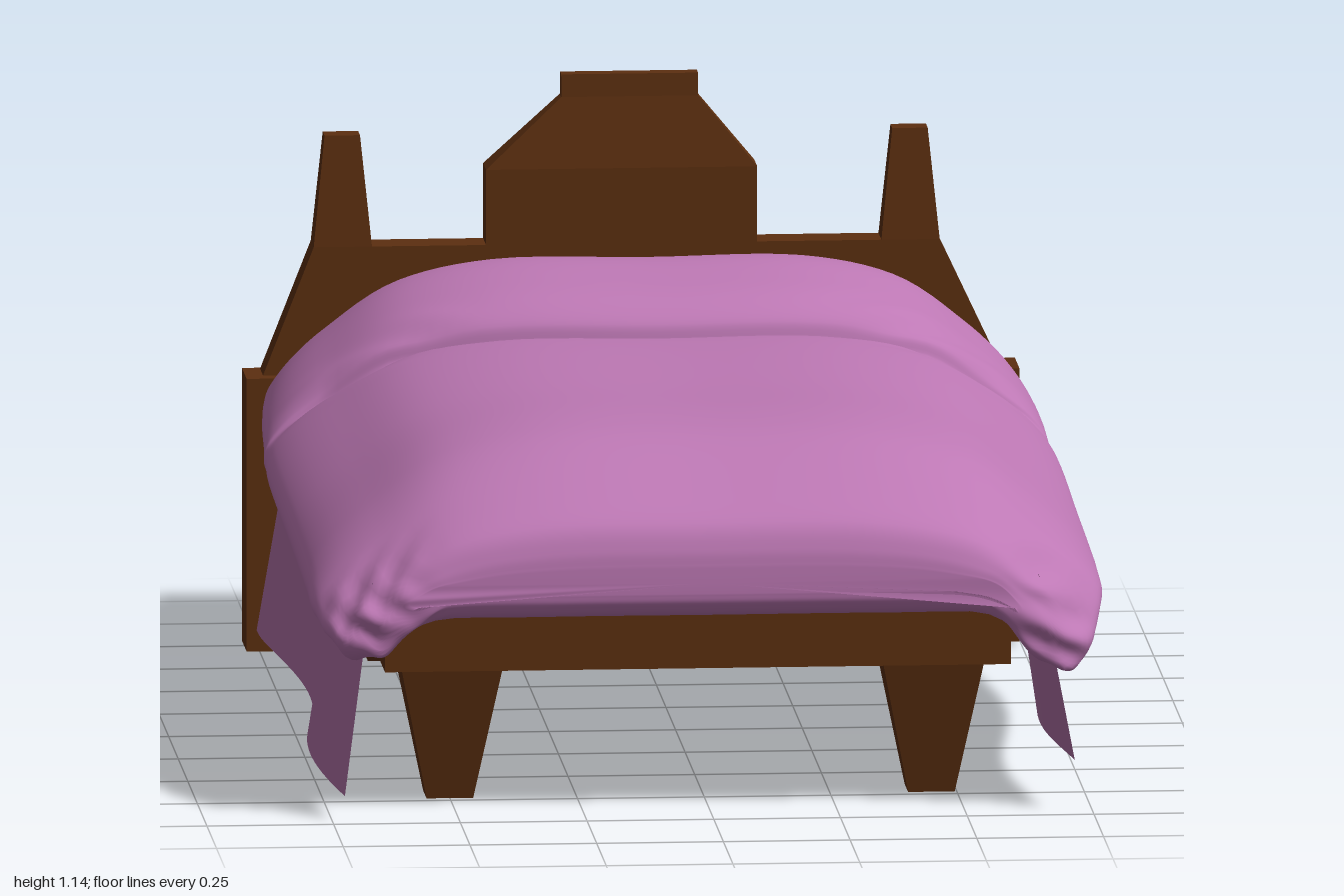
import * as THREE from 'three';

const { smoothstep } = THREE.MathUtils;
const wood = new THREE.MeshStandardMaterial({ color: 0x5c2f10, flatShading: true });
const cover = new THREE.MeshStandardMaterial({ color: 0xbd78b4 });
const pillowCloth = new THREE.MeshStandardMaterial({ color: 0xe08fd8 });
const skirtCloth = new THREE.MeshStandardMaterial({ color: 0xb272a8, side: THREE.DoubleSide });

function add(parent, name, geometry, material) {
  const mesh = new THREE.Mesh(geometry, material);
  mesh.name = name;
  parent.add(mesh);
  return mesh;
}

// Block whose bottom and top rectangles [x0, x1, z0, z1] may differ
function taper(y0, bottom, y1, top = bottom) {
  const g = new THREE.BoxGeometry(1, 1, 1);
  const p = g.attributes.position;
  for (let i = 0; i < p.count; i++) {
    const up = p.getY(i) > 0;
    const r = up ? top : bottom;
    p.setXYZ(i, p.getX(i) < 0 ? r[0] : r[1], up ? y1 : y0, p.getZ(i) < 0 ? r[2] : r[3]);
  }
  g.computeVertexNormals();
  return g;
}

function gridGeometry(positions, index) {
  const g = new THREE.BufferGeometry();
  g.setAttribute('position', new THREE.Float32BufferAttribute(positions, 3));
  g.setIndex(index);
  g.computeVertexNormals();
  return g;
}

// Puffy cover: half outline as [share of half width, share of height], from underside to crown
const HALF = [[0, .15], [.45, .15], [.78, .13], [.87, .02], [.92, 0], [.98, .07], [1, .2],
  [.955, .37], [.84, .6], [.65, .87], [.41, .99], [0, 1]];
// Stations from foot to head: z, crown height, hem height, half width
const STATIONS = [[.99, .5, .44, .6], [.985, .535, .41, .66], [.96, .585, .37, .73],
  [.85, .645, .355, .775], [.7, .705, .36, .78], [.55, .725, .365, .78], [.2, .725, .38, .78],
  [-.28, .725, .4, .78], [-.37, .715, .405, .775], [-.405, .695, .41, .775],
  [-.42, .735, .412, .773], [-.48, .775, .418, .77], [-.58, .8, .425, .765],
  [-.7, .815, .435, .755], [-.78, .8, .445, .745], [-.82, .74, .45, .74], [-.825, .65, .455, .73]];

function duvetGeometry() {
  const mirrored = HALF.slice(1, -1).reverse().map(([x, t]) => [-x, t]);
  const outline = new THREE.CatmullRomCurve3(
    [...HALF, ...mirrored].map(([x, t]) => new THREE.Vector3(x, t, 0)), true);
  const heights = new THREE.CatmullRomCurve3(STATIONS.map(s => new THREE.Vector3(s[0], s[1], s[2])));
  const widths = new THREE.CatmullRomCurve3(STATIONS.map(s => new THREE.Vector3(s[0], s[3], 0)));
  const N = 132, M = 96, pos = [], idx = [];
  for (let i = 0; i <= M; i++) {
    const s = heights.getPoint(i / M), w = widths.getPoint(i / M).y;
    for (let j = 0; j < N; j++) {
      const o = outline.getPoint(j / N);
      let x = o.x * w, y = s.z + o.y * (s.y - s.z), z = s.x;
      const ax = Math.abs(x);
      // Drooping, crumpled foot corners
      const corner = smoothstep(ax, .52, .7) * smoothstep(z, .83, .96);
      y -= corner * (x > 0 ? .09 : .05) * (1 - o.y);
      y += corner * .009 * Math.sin(70 * x + 45 * z);
      z += corner * .007 * Math.sin(85 * y + 40 * x);
      // Gathers at the sides of the pillow fold
      const fold = smoothstep(ax, .3, .5) * Math.exp(-(((z + .42) / .07) ** 2)) * smoothstep(o.y, .3, .6);
      y += fold * .006 * Math.sin(60 * z + 25 * ax);
      // The fold and head edge sweep back towards the sides
      z -= .085 * Math.min(1, (x / .65) ** 2) * smoothstep(-z, .15, .42);
      pos.push(x, y, z);
    }
  }
  for (let i = 0; i < M; i++) {
    for (let j = 0; j < N; j++) {
      const k = (j + 1) % N, a = i * N + j, b = i * N + k, c = a + N, d = b + N;
      idx.push(a, c, b, b, c, d);
    }
  }
  // Close both ends
  const front = pos.length / 3;
  pos.push(0, .47, .99, 0, .58, -.825);
  for (let j = 0; j < N; j++) {
    const k = (j + 1) % N;
    idx.push(front, j, k, front + 1, M * N + k, M * N + j);
  }
  return gridGeometry(pos, idx);
}

// Hanging side cloth, flared outwards with a gentle wave along its length
function skirtGeometry(topX, bottomX, bottomY, ripple) {
  const g = new THREE.PlaneGeometry(1, 1, 48, 8);
  const p = g.attributes.position;
  for (let i = 0; i < p.count; i++) {
    const u = p.getX(i) + .5, v = .5 - p.getY(i);
    const x = topX + (bottomX - topX) * v + (.014 + .012 * v) * Math.sin(u * 8.5 + 4.5);
    const y = .47 + (bottomY - .47) * v + ripple * v * Math.sin(u * 11);
    p.setXYZ(i, x, y, -.875 + u * (1.815 + .01 * v));
  }
  g.computeVertexNormals();
  return g;
}

export function createModel() {
  const bed = new THREE.Group();
  bed.name = 'bed';

  // Headboard: base plate, sloped panel, two posts and a stepped crest
  const headboard = new THREE.Group();
  headboard.name = 'headboard';
  bed.add(headboard);
  const B = [-.99, -.912];
  add(headboard, 'headboardBase', taper(.01, [-.78, .745, -1, -.877], .555), wood);
  add(headboard, 'headboardPanel', taper(.555, [-.745, .71, ...B], .81, [-.645, .59, ...B]), wood);
  for (const x of [-.5875, .5325]) {
    add(headboard, 'headboardPost',
      taper(.81, [x - .0575, x + .0575, ...B], 1.03, [x - .035, x + .035, -.975, -.928]), wood);
  }
  add(headboard, 'crestBase', taper(.81, [-.305, .23, ...B], .96), wood);
  add(headboard, 'crestSlope', taper(.96, [-.305, .23, ...B], 1.1, [-.155, .115, -.972, -.932]), wood);
  add(headboard, 'crestTop', taper(1.1, [-.155, .115, -.972, -.932], 1.145, [-.155, .115, -.967, -.934]), wood);

  // Frame and tapered legs
  add(bed, 'frame', taper(.27, [-.635, .6, -.88, .82], .435), wood);
  for (const x of [-.5, .45]) {
    const top = [x - .1, x + .1], bottom = [x - .046, x + .046];
    add(bed, 'frontLeg', taper(0, [...bottom, .635, .725], .27, [...top, .575, .785]), wood);
    add(bed, 'backLeg', taper(0, [...bottom, -.955, -.81], .27, [...top, -.98, -.675]), wood);
  }

  // Bedding
  add(bed, 'mattress', taper(.43, [-.54, .54, -.88, .78], .56), skirtCloth);
  const pillow = add(bed, 'pillow', new THREE.SphereGeometry(1, 40, 24), pillowCloth);
  const pp = pillow.geometry.attributes.position;
  const puff = (v, e) => Math.sign(v) * Math.abs(v) ** e;
  for (let i = 0; i < pp.count; i++) {
    pp.setXYZ(i, .03 + .34 * puff(pp.getX(i), .6), .665 + .09 * pp.getY(i), -.8 + .105 * puff(pp.getZ(i), .7));
  }
  pillow.geometry.computeVertexNormals();
  add(bed, 'duvet', duvetGeometry(), cover);
  add(bed, 'leftSkirt', skirtGeometry(.64, .705, .1, 0), skirtCloth);
  add(bed, 'rightSkirt', skirtGeometry(-.675, -.735, .053, .006), skirtCloth);
  return bed;
}
